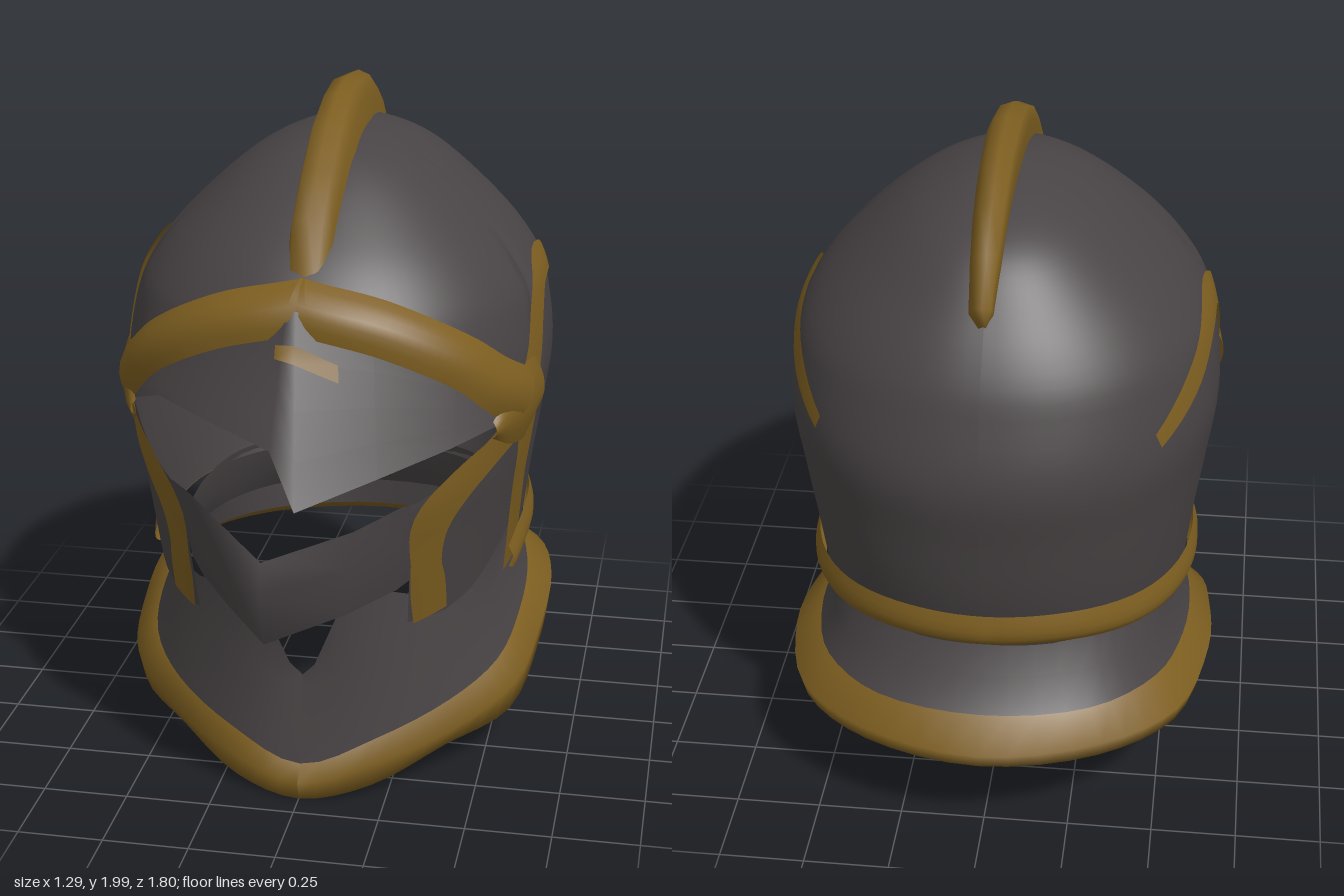
import * as THREE from 'three';

const steel = new THREE.MeshStandardMaterial({ color: 0x484344, side: THREE.DoubleSide });
steel.name = 'dark steel';
const gold = new THREE.MeshStandardMaterial({ color: 0x7d5e20, side: THREE.DoubleSide });
gold.name = 'old gold';

const ZC = -0.1, P = 2.15, ARC = 0.65, TOP = 1.89;
const centre = new THREE.Vector3(0, 1.1, ZC);

// Skull sections: height, half width, back z, front z
const KEYS = [
  [0.55, 0.545, -0.69, 0.70], [0.8, 0.575, -0.77, 0.77], [1.0, 0.605, -0.81, 0.81],
  [1.2, 0.63, -0.84, 0.76], [1.4, 0.605, -0.79, 0.67], [1.5, 0.56, -0.75, 0.61],
  [1.62, 0.46, -0.67, 0.50], [1.77, 0.29, -0.53, 0.30], [1.85, 0.14, -0.33, 0.13],
  [TOP, 0.0, -0.1, -0.1],
];
const smooth = (column) => new THREE.CatmullRomCurve3(
  KEYS.map((k) => new THREE.Vector3(k[0], k[1], k[column])), false, 'catmullrom').getPoints(72);
const fronts = smooth(3);
const SECTIONS = smooth(2).map((p, i) => [p.x, p.y, p.z, fronts[i].z]);

// Linear lookup in a table sorted by its first column
function lookup(table, key) {
  let i = 1;
  while (i < table.length - 1 && table[i][0] < key) i++;
  const a = table[i - 1], b = table[i];
  const t = THREE.MathUtils.clamp((key - a[0]) / (b[0] - a[0]), 0, 1);
  return a.map((v, k) => v + (b[k] - v) * t);
}

const signedPow = (v, p) => Math.sign(v) * Math.pow(Math.abs(v), p);

// Angle around the skull (0 = front, PI = back) for a side position z, y
function angleAt(z, y) {
  const [, , back, front] = lookup(SECTIONS, y);
  const t = (z - ZC) / (z > ZC ? front - ZC : ZC - back);
  return Math.acos(signedPow(THREE.MathUtils.clamp(t, -1, 1), P / 2));
}

// Point on the skull surface, pushed outwards by lift
function surface(a, y, lift = 0) {
  const [, w, back, front] = lookup(SECTIONS, y);
  const c = signedPow(Math.cos(a), 2 / P);
  const p = new THREE.Vector3(w * signedPow(Math.sin(a), 2 / P), y,
    ZC + c * (c > 0 ? front - ZC : ZC - back));
  return p.addScaledVector(p.clone().sub(centre).normalize(), lift);
}

// Sheet through a grid of points
function sheet(rows) {
  const n = rows[0].length, index = [];
  for (let i = 0; i < rows.length - 1; i++) {
    for (let j = 0; j < n - 1; j++) {
      const a = i * n + j, b = a + 1, c = a + n, d = c + 1;
      index.push(a, c, b, b, c, d);
    }
  }
  const g = new THREE.BufferGeometry().setFromPoints(rows.flat());
  g.setIndex(index);
  g.computeVertexNormals();
  return g;
}

const vec = (p) => new THREE.Vector3(...p);
const mirrored = (rows) => rows.map((r) => r.map((p) => new THREE.Vector3(-p.x, p.y, p.z)));

// Band following [z, y, width] points over the skull, bowed outwards by bulge
function bandRows(points, bulge = 0, overlap = 0) {
  const curve = new THREE.CatmullRomCurve3(points.map(([z, y, w]) =>
    new THREE.Vector3(angleAt(z, y) * ARC - (z > 0.64 ? overlap : 0), y, w)));
  const rows = [];
  for (let i = 0; i <= 32; i++) {
    const p = curve.getPoint(i / 32), t = curve.getTangent(i / 32);
    const len = Math.hypot(t.x, t.y) || 1, row = [];
    for (let j = 0; j <= 6; j++) {
      const k = j / 6 - 0.5;
      row.push(surface((p.x - (t.y / len) * k * p.z) / ARC, p.y + (t.x / len) * k * p.z,
        0.01 + bulge * Math.cos(k * Math.PI)));
    }
    rows.push(row);
  }
  return rows;
}

// Closed loop through half-outline points, running from front to back
function loop(half) {
  const other = half.slice(1, -1).reverse().map(([x, y, z]) => [-x, y, z]);
  return new THREE.CatmullRomCurve3([...half, ...other].map(vec), true).getPoints(64);
}

// Rows between two edges given as [top, bottom] stations
const between = (stations, steps) => stations.map(([a, b]) =>
  Array.from({ length: steps + 1 }, (_, i) => vec(a).lerp(vec(b), i / steps)));

export function createModel() {
  const model = new THREE.Group();
  model.name = 'helmet';
  const add = (name, rows, material) => {
    const mesh = new THREE.Mesh(sheet(rows), material);
    mesh.name = name;
    model.add(mesh);
  };
  const addPair = (name, rows, material) => {
    add(name + 'Left', rows, material);
    add(name + 'Right', mirrored(rows), material);
  };

  // Skull, cut away in front below the brow
  const edge = [[0.66, 1.46], [0.55, 1.36], [0.4, 1.22], [0.3, 1.13], [0.15, 1.1], [0.12, 0.6], [-0.9, 0.62]]
    .map(([z, y]) => [angleAt(z, y), y]);
  const skull = [];
  for (let i = 0; i <= 96; i++) {
    const a = -Math.PI + (i / 96) * 2 * Math.PI, low = lookup(edge, Math.abs(a))[1];
    skull.push(Array.from({ length: 41 }, (_, j) =>
      surface(a, low + (TOP - low) * Math.sin((j / 40) * Math.PI / 2))));
  }
  add('skull', skull, steel);

  // Cheek plates: station, lower z and y, upper z and y
  const cheekEdge = [[0, 0.12, 0.75, 0.12, 1.16], [1, 0.25, 0.68, 0.27, 1.13], [2, 0.38, 0.6, 0.42, 1.1],
    [3, 0.48, 0.57, 0.55, 1.035], [4, 0.59, 0.57, 0.69, 0.965]];
  const cheek = Array.from({ length: 25 }, (_, i) => {
    const [, z0, y0, z1, y1] = lookup(cheekEdge, i / 6);
    return Array.from({ length: 13 }, (_, j) => {
      const t = j / 12, y = y0 + (y1 - y0) * t;
      return surface(angleAt(z0 + (z1 - z0) * t, y), y, 0.002);
    });
  });
  addPair('cheekPlate', cheek, steel);

  // Gold trim on skull and cheeks
  addPair('browBand', bandRows([[0.67, 1.5, 0.13], [0.6, 1.44, 0.14], [0.5, 1.33, 0.14],
    [0.4, 1.235, 0.15], [0.27, 1.16, 0.16]], 0.03, 0.02), gold);
  addPair('templeHub', bandRows([[0.44, 1.115, 0.05], [0.34, 1.13, 0.18], [0.22, 1.14, 0.24], [0.14, 1.14, 0.14]], 0.02), gold);
  addPair('templeArch', bandRows([[0.22, 1.2, 0.12], [0.17, 1.27, 0.1], [0.1, 1.37, 0.1], [0, 1.44, 0.09],
    [-0.1, 1.46, 0.09], [-0.25, 1.44, 0.08], [-0.42, 1.37, 0.08], [-0.61, 1.27, 0.05]]), gold);
  addPair('cheekRearStrip', bandRows([[0.21, 1.14, 0.14], [0.19, 1.0, 0.1], [0.18, 0.9, 0.09],
    [0.14, 0.75, 0.1], [0.1, 0.58, 0.11]]), gold);
  addPair('cheekFrontStrip', bandRows([[0.28, 1.1, 0.12], [0.42, 1.05, 0.1], [0.55, 0.99, 0.12],
    [0.62, 0.9, 0.14], [0.6, 0.77, 0.11], [0.57, 0.68, 0.13], [0.535, 0.58, 0.13]]), gold);
  addPair('neckRoll', bandRows([[0.12, 0.6, 0.1], [0, 0.64, 0.11], [-0.3, 0.66, 0.11],
    [-0.5, 0.67, 0.12], [-0.7, 0.7, 0.12], [-0.9, 0.7, 0.12]], 0.03), gold);

  // Pointed upper visor, with the right slot edge raised
  add('upperVisor', between([
    [[0.56, 1.2, 0.32], [0.54, 1.12, 0.4]],
    [[0.42, 1.3, 0.47], [0.42, 1.1, 0.57]],
    [[0.2, 1.42, 0.59], [0.24, 1.06, 0.74]],
    [[0, 1.5, 0.66], [0.04, 1.01, 0.9]],
    [[-0.03, 1.49, 0.655], [-0.04, 1.16, 0.84]],
    [[-0.2, 1.42, 0.59], [-0.24, 1.19, 0.72]],
    [[-0.42, 1.3, 0.47], [-0.42, 1.2, 0.56]],
    [[-0.56, 1.2, 0.32], [-0.54, 1.13, 0.4]],
  ], 4), steel);
  add('visorMark', between([
    [[-0.05, 1.415, 0.7], [-0.05, 1.38, 0.715]],
    [[0.005, 1.42, 0.715], [0.005, 1.375, 0.737]],
    [[0.12, 1.36, 0.68], [0.125, 1.315, 0.7]],
  ], 1), gold);

  // Pointed lower visor, bowed forwards at mid height
  add('lowerVisor', [
    [[0.37, 0.97, 0.62], [0.35, 0.83, 0.58], [0.33, 0.71, 0.56]],
    [[0.3, 0.965, 0.7], [0.3, 0.83, 0.68], [0.28, 0.69, 0.64]],
    [[0.18, 0.92, 0.79], [0.17, 0.81, 0.79], [0.15, 0.65, 0.75]],
    [[-0.06, 0.845, 0.87], [-0.06, 0.76, 0.9], [-0.06, 0.585, 0.84]],
    [[-0.2, 0.92, 0.78], [-0.19, 0.81, 0.79], [-0.18, 0.65, 0.75]],
    [[-0.3, 0.965, 0.7], [-0.3, 0.83, 0.68], [-0.28, 0.69, 0.64]],
    [[-0.37, 0.97, 0.62], [-0.35, 0.83, 0.58], [-0.33, 0.71, 0.56]],
  ].map((row) => row.map(vec)), steel);

  // Neck collar with a front notch, flaring into a gold rim
  const top = [[0, 0.38, 0.6], [0.15, 0.65, 0.61], [0.34, 0.6, 0.45], [0.47, 0.6, 0.22], [0.5, 0.6, 0],
    [0.5, 0.62, -0.3], [0.43, 0.64, -0.5], [0.27, 0.65, -0.64], [0, 0.66, -0.69]];
  const neck = [[0, 0.34, 0.61], [0.19, 0.44, 0.58], [0.37, 0.48, 0.44], [0.48, 0.48, 0.22], [0.51, 0.5, 0],
    [0.51, 0.51, -0.3], [0.45, 0.52, -0.53], [0.28, 0.53, -0.68], [0, 0.53, -0.74]];
  const trim = [[0, 0.115, 0.65], [0.22, 0.19, 0.59], [0.41, 0.26, 0.45], [0.53, 0.31, 0.25], [0.57, 0.37, 0],
    [0.56, 0.41, -0.3], [0.49, 0.43, -0.55], [0.31, 0.44, -0.74], [0, 0.44, -0.81]];
  const bulge = [[0, 0.07, 0.69], [0.22, 0.12, 0.62], [0.43, 0.18, 0.48], [0.59, 0.25, 0.27], [0.635, 0.32, 0],
    [0.64, 0.36, -0.3], [0.56, 0.36, -0.61], [0.35, 0.36, -0.8], [0, 0.36, -0.9]];
  const rim = [[0, 0.01, 0.67], [0.2, 0.04, 0.61], [0.4, 0.11, 0.45], [0.57, 0.15, 0.26], [0.63, 0.25, 0],
    [0.63, 0.32, -0.3], [0.55, 0.31, -0.6], [0.34, 0.31, -0.79], [0, 0.31, -0.88]];
  const lip = rim.map(([x, y, z]) => [x * 0.92, y + 0.04, z * 0.93]);
  add('collar', [top, neck, trim].map(loop), steel);
  add('collarRim', [trim, bulge, rim, lip].map(loop), gold);
  add('collarLining', [trim, lip].map(loop), steel);

  // Crest: outer z, y, inner z, y, half width
  const crest = [
    [0.57, 1.53, 0.52, 1.48, 0.06], [0.49, 1.72, 0.42, 1.58, 0.065], [0.36, 1.82, 0.28, 1.72, 0.065],
    [0.2, 1.92, 0.15, 1.81, 0.065], [0.05, 1.98, 0.02, 1.85, 0.06], [-0.1, 2.0, -0.1, 1.86, 0.06],
    [-0.3, 1.98, -0.28, 1.84, 0.055], [-0.48, 1.9, -0.42, 1.79, 0.05], [-0.6, 1.81, -0.52, 1.72, 0.045],
    [-0.71, 1.7, -0.62, 1.63, 0.035], [-0.68, 1.63, -0.65, 1.6, 0.01],
  ].map(([oz, oy, iz, iy, w]) =>
    [[-1, 0], [-0.95, 0.6], [-0.7, 0.9], [0, 1], [0.6, 0.9], [0.9, 0.6], [1, 0]].map(([x, t]) =>
      new THREE.Vector3(0.015 - t * 0.015 + x * w, iy + (oy - iy) * t, iz + (oz - iz) * t)));
  add('crest', crest, gold);

  return model;
}
